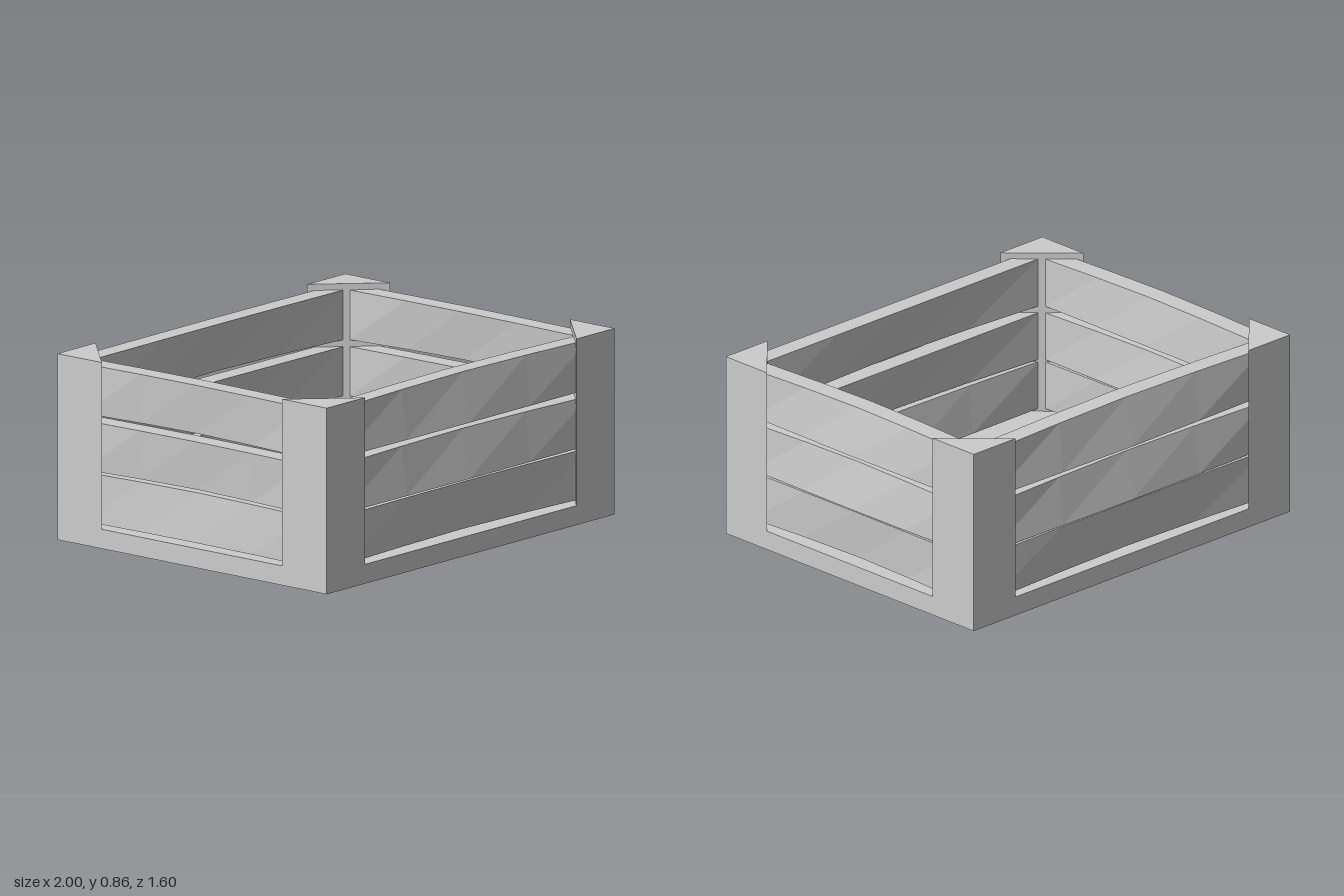
import * as THREE from 'three';

const material = new THREE.MeshStandardMaterial({ color: 0xcccccc, flatShading: true });

// Board along x, facing +z, whose middle bows up and twists (top edge in, bottom edge out)
function slat(halfLength, y0, y1, inner, outer, twist) {
  const geo = new THREE.BoxGeometry(2 * halfLength, y1 - y0, outer - inner, 4, 1, 1);
  geo.translate(0, (y0 + y1) / 2, (inner + outer) / 2);
  const pos = geo.attributes.position;
  const middle = (y0 + y1) / 2;
  for (let i = 0; i < pos.count; i++) {
    const t = 1 - Math.abs(pos.getX(i)) / halfLength;
    const bow = Math.min(1, t * 1.3);
    const top = pos.getY(i) > middle;
    pos.setZ(i, pos.getZ(i) + twist * bow * (top ? -0.015 : 0.026));
    pos.setY(i, pos.getY(i) + bow * 0.008);
  }
  geo.computeVertexNormals();
  return new THREE.Mesh(geo, material);
}

// Triangular corner post with its right angle on the outer corner
function cornerPost(sx, sz) {
  const leg = 0.265, bottom = 0.09, top = 0.865;
  const shape = new THREE.Shape([
    new THREE.Vector2(sx, -sz * 0.8),
    new THREE.Vector2(sx * (1 - leg), -sz * 0.8),
    new THREE.Vector2(sx, -sz * (0.8 - leg)),
  ]);
  const geo = new THREE.ExtrudeGeometry(shape, { depth: top - bottom, bevelEnabled: false });
  geo.rotateX(-Math.PI / 2).translate(0, bottom, 0);
  return new THREE.Mesh(geo, material);
}

export function createModel() {
  const crate = new THREE.Group();
  crate.name = 'crate';

  // Solid floor
  const floor = new THREE.Mesh(new THREE.BoxGeometry(2, 0.09, 1.6), material);
  floor.position.y = 0.045;
  floor.name = 'floor';
  crate.add(floor);

  // Four corner posts
  for (const sx of [-1, 1]) {
    for (const sz of [-1, 1]) {
      const post = cornerPost(sx, sz);
      post.name = (sz > 0 ? 'front' : 'back') + (sx > 0 ? 'Left' : 'Right') + 'Post';
      crate.add(post);
    }
  }

  // Three slats on each wall, their ends buried in the posts
  const rows = [[0.103, 0.332, -0.7], [0.343, 0.572, 1], [0.604, 0.835, 1]];
  const walls = [
    { name: 'front', turn: 0, half: 0.86, inner: 0.68, outer: 0.77, twist: 1 },
    { name: 'left', turn: Math.PI / 2, half: 0.66, inner: 0.87, outer: 0.967, twist: 0.8 },
    { name: 'back', turn: Math.PI, half: 0.86, inner: 0.685, outer: 0.778, twist: 1 },
    { name: 'right', turn: -Math.PI / 2, half: 0.655, inner: 0.878, outer: 0.975, twist: -0.6 },
  ];
  for (const w of walls) {
    const wall = new THREE.Group();
    wall.name = w.name + 'Wall';
    wall.rotation.y = w.turn;
    rows.forEach(([y0, y1, lean], i) => {
      const board = slat(w.half, y0, y1, w.inner, w.outer, w.twist * lean);
      board.name = w.name + 'Slat' + (i + 1);
      wall.add(board);
    });
    crate.add(wall);
  }
  return crate;
}
